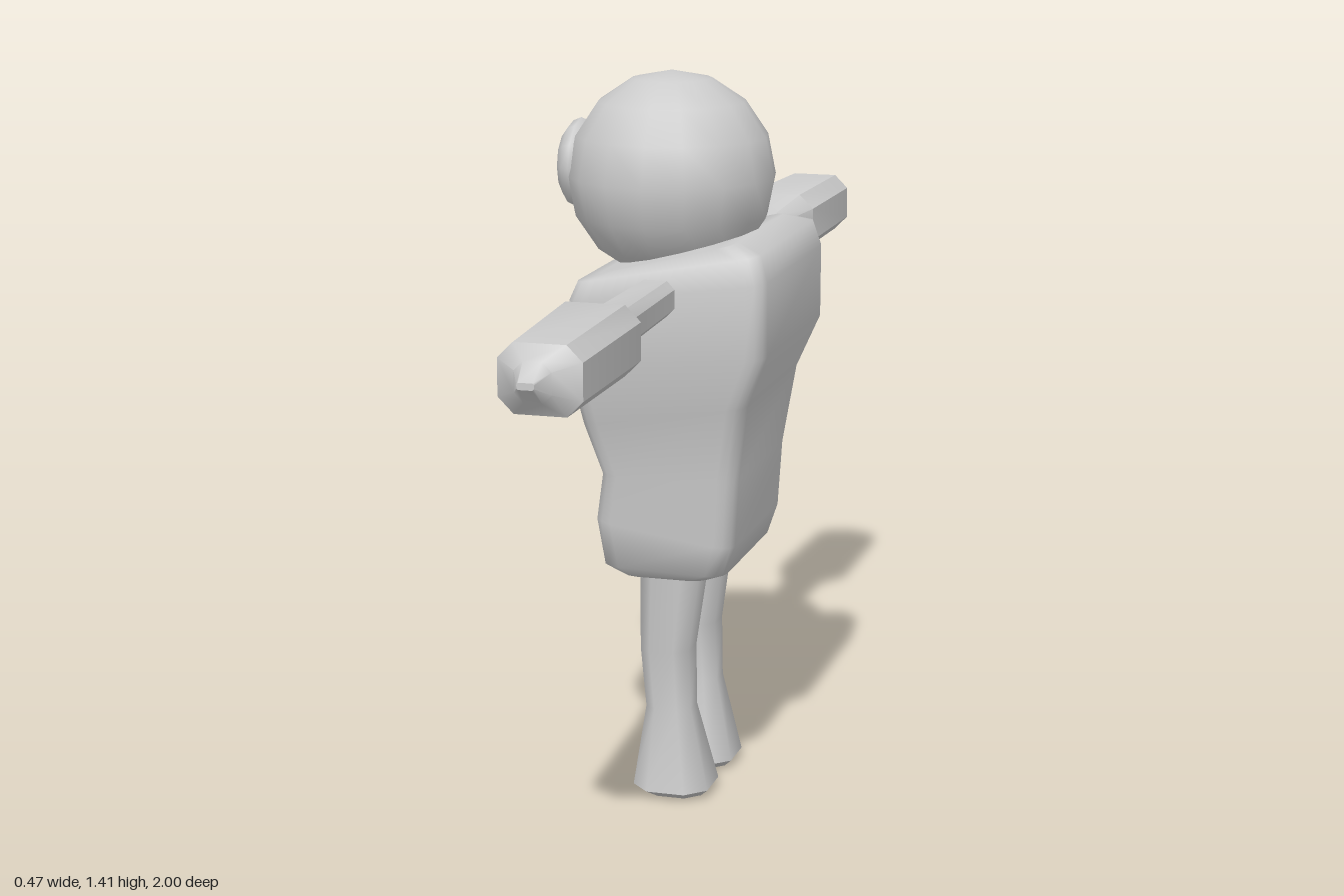
import * as THREE from 'three';
import { toCreasedNormals } from 'three/addons/utils/BufferGeometryUtils.js';

const material = new THREE.MeshStandardMaterial({ color: 0xcccccc });

// Rectangle a0..a1 by b0..b1 with rounded (steps > 1) or cut (steps = 1) corners
function ring(a0, a1, b0, b1, r, steps) {
  const corners = [[a1 - r, b1 - r], [a0 + r, b1 - r], [a0 + r, b0 + r], [a1 - r, b0 + r]];
  const points = [];
  corners.forEach(([a, b], c) => {
    for (let i = 0; i <= steps; i++) {
      const t = (c + i / steps) * Math.PI / 2;
      points.push([a + r * Math.cos(t), b + r * Math.sin(t)]);
    }
  });
  return points;
}

// Skin over rings of [x, y, z] points, closed with a cap at both ends
function loft(rings, crease) {
  const n = rings[0].length;
  const pos = rings.flat(2);
  const index = [];
  for (let k = 0; k < rings.length - 1; k++) {
    for (let i = 0; i < n; i++) {
      const j = (i + 1) % n, a = k * n, b = a + n;
      index.push(a + i, a + j, b + j, a + i, b + j, b + i);
    }
  }
  const last = (rings.length - 1) * n;
  for (let i = 1; i < n - 1; i++) {
    index.push(0, i + 1, i, last, last + i, last + i + 1);
  }
  const geo = new THREE.BufferGeometry();
  geo.setAttribute('position', new THREE.Float32BufferAttribute(pos, 3));
  geo.setIndex(index);
  return toCreasedNormals(geo, crease);
}

function add(group, name, geometry) {
  const mesh = new THREE.Mesh(geometry, material);
  mesh.name = name;
  group.add(mesh);
  return mesh;
}

// Torso: [xMin, xMax, y at xMin, y at xMax, half depth], bottom to top
function torso() {
  const sections = [
    [-0.07, 0.105, 0.455, 0.455, 0.165],
    [-0.10, 0.142, 0.478, 0.472, 0.187],
    [-0.113, 0.16, 0.57, 0.53, 0.197],
    [-0.10, 0.168, 0.66, 0.66, 0.20],
    [-0.13, 0.19, 0.76, 0.81, 0.222],
    [-0.152, 0.232, 0.87, 0.91, 0.242],
    [-0.15, 0.232, 1.0, 1.05, 0.244],
    [-0.136, 0.217, 1.035, 1.1, 0.235],
    [-0.10, 0.165, 1.047, 1.115, 0.20],
  ];
  return loft(sections.map(([x0, x1, y0, y1, w]) =>
    ring(-w, w, x0, x1, 0.035, 3).map(([z, x]) =>
      [x, y0 + (y1 - y0) * (x - x0) / (x1 - x0), z])), 1.2);
}

// Arm: [z, xMin, xMax, yMin, yMax], shoulder to pointed tip
function arm(side) {
  const sections = [
    [0.15, -0.01, 0.062, 0.985, 1.05],
    [0.52, -0.015, 0.07, 0.98, 1.05],
    [0.62, -0.05, 0.115, 0.955, 1.08],
    [0.94, -0.032, 0.115, 0.955, 1.075],
    [0.965, 0.005, 0.07, 0.98, 1.05],
    [1.0, 0.022, 0.052, 1.01, 1.022],
  ];
  const rings = sections.map(([z, x0, x1, y0, y1]) =>
    ring(x0, x1, y0, y1, 0.23 * (y1 - y0), 1).map(([x, y]) => [x, y, side * z]));
  return loft(side > 0 ? rings : rings.reverse(), 0.75);
}

// Leg with flared foot: [y, xMin, xMax, inner z, outer z]
function leg(side) {
  const sections = [
    [0.003, -0.028, 0.08, 0.035, 0.14],
    [0.02, -0.053, 0.097, 0.01, 0.167],
    [0.18, -0.03, 0.06, 0.05, 0.14],
    [0.30, -0.04, 0.057, 0.042, 0.146],
    [0.50, -0.04, 0.084, 0.024, 0.153],
  ];
  return loft(sections.map(([y, x0, x1, zi, zo]) =>
    ring(side > 0 ? zi : -zo, side > 0 ? zo : -zi, x0, x1, 0.25 * (x1 - x0), 1)
      .map(([z, x]) => [x, y, z])), 0.9);
}

export function createModel() {
  const model = new THREE.Group();
  model.name = 'figure';

  add(model, 'torso', torso());

  // Head with a flattened round nose on the -x side
  add(model, 'head', new THREE.SphereGeometry(0.2, 16, 8)).position.set(-0.012, 1.21, 0);
  const nose = new THREE.SphereGeometry(1, 12, 8).rotateZ(Math.PI / 2).scale(0.042, 0.088, 0.088);
  add(model, 'nose', nose).position.set(-0.193, 1.225, 0);

  for (const [side, label] of [[1, 'front'], [-1, 'back']]) {
    add(model, label + 'Arm', arm(side));
    add(model, label + 'Leg', leg(side));
  }
  return model;
}
